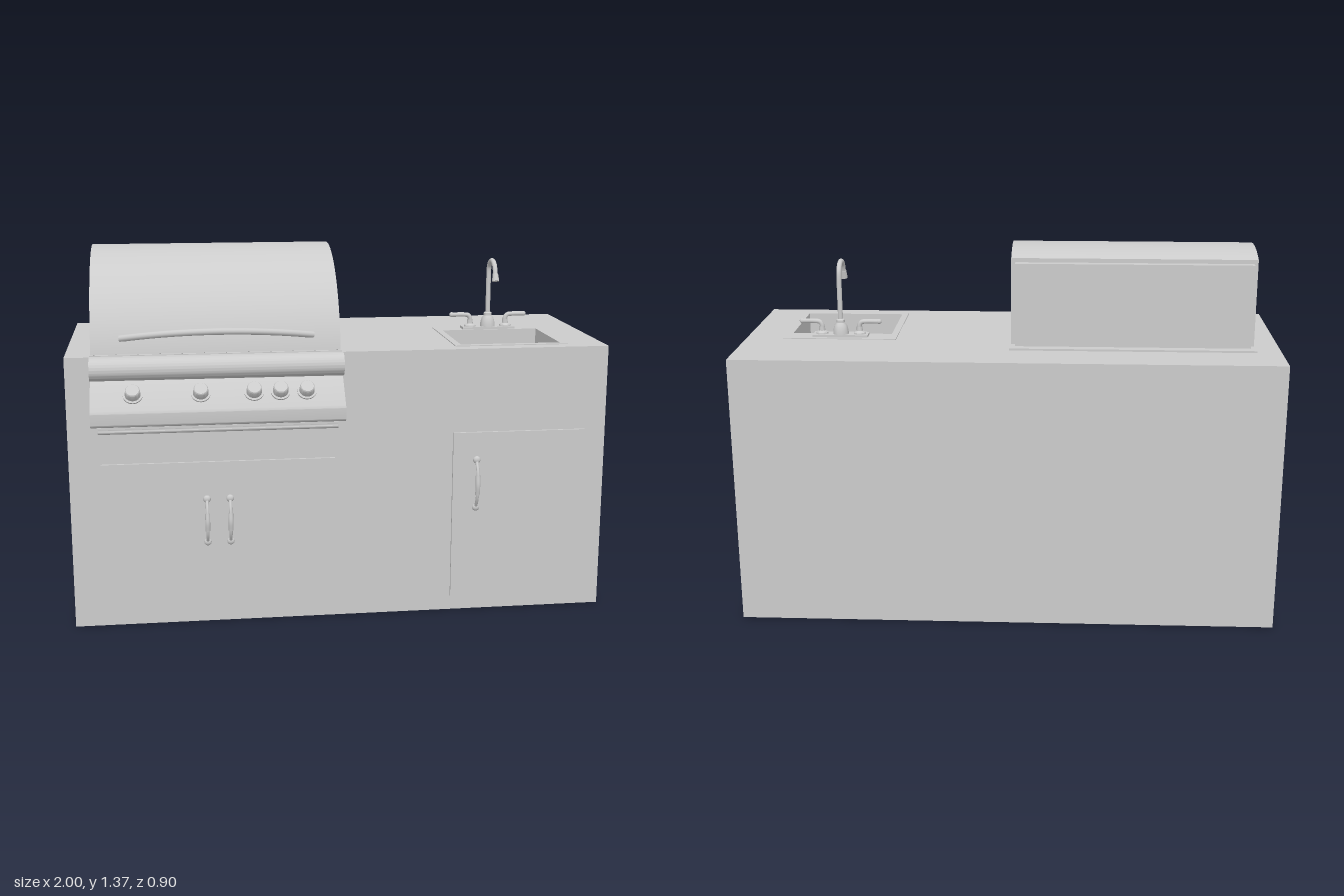
import * as THREE from 'three';
import { toCreasedNormals } from 'three/addons/utils/BufferGeometryUtils.js';

const grey = new THREE.MeshStandardMaterial({ color: 0xcccccc, side: THREE.DoubleSide });

function add(parent, name, geometry) {
  const mesh = new THREE.Mesh(geometry, grey);
  mesh.name = name;
  parent.add(mesh);
  return mesh;
}

// Box given by its limits
function box(parent, name, x0, x1, y0, y1, z0, z1) {
  const m = add(parent, name, new THREE.BoxGeometry(x1 - x0, y1 - y0, z1 - z0));
  m.position.set((x0 + x1) / 2, (y0 + y1) / 2, (z0 + z1) / 2);
  return m;
}

// Side profile (z, y) swept along x
function sweepX(parent, name, shape, x0, x1) {
  const g = new THREE.ExtrudeGeometry(shape, { depth: x1 - x0, bevelEnabled: false, curveSegments: 32 });
  g.rotateY(-Math.PI / 2).translate(x1, 0, 0);
  return add(parent, name, toCreasedNormals(g, 0.5));
}

// Flat plate with a rectangular opening, limits in x and z
function frame(parent, name, [x0, x1, z0, z1], [a0, a1, b0, b1], y0, y1) {
  const rect = (C, l, r, n, f) => new C([[l, -f], [r, -f], [r, -n], [l, -n]].map(p => new THREE.Vector2(...p)));
  const shape = rect(THREE.Shape, x0, x1, z0, z1);
  shape.holes.push(rect(THREE.Path, a0, a1, b0, b1));
  const g = new THREE.ExtrudeGeometry(shape, { depth: y1 - y0, bevelEnabled: false });
  return add(parent, name, g.rotateX(-Math.PI / 2).translate(0, y0, 0));
}

function tube(parent, name, points, radius, segments = 32) {
  const curve = new THREE.CatmullRomCurve3(points.map(p => new THREE.Vector3(...p)));
  return add(parent, name, new THREE.TubeGeometry(curve, segments, radius, 12));
}

function lathe(parent, name, points, segments = 24) {
  const g = new THREE.LatheGeometry(points.map(p => new THREE.Vector2(...p)), segments);
  return add(parent, name, toCreasedNormals(g, 0.6));
}

// Bowed pull handle with round feet
function doorHandle(parent, x, y0, y1) {
  const handle = new THREE.Group();
  handle.name = 'doorHandle';
  const h = y1 - y0, m = (y0 + y1) / 2;
  tube(handle, 'handleBow', [[x, y0, 0.352], [x, y0 + h * 0.22, 0.374], [x, m, 0.381], [x, y1 - h * 0.22, 0.374], [x, y1, 0.352]], 0.006);
  tube(handle, 'handleGrip', [[x, m - h * 0.2, 0.376], [x, m, 0.381], [x, m + h * 0.2, 0.376]], 0.009, 12);
  for (const y of [y0, y1]) {
    const foot = add(handle, 'handleFoot', new THREE.SphereGeometry(0.014, 16, 12));
    foot.position.set(x, y, 0.352);
    foot.scale.z = 0.7;
  }
  parent.add(handle);
}

function buildIsland(root) {
  const island = new THREE.Group();
  island.name = 'island';
  root.add(island);
  const basin = [0.455, 0.835, -0.065, 0.26];
  box(island, 'cabinet', -1, 1, 0, 0.86, -0.455, 0.34);
  frame(island, 'counterTop', [-1, 1, -0.455, 0.34], basin, 0.86, 1.015);
  frame(island, 'sinkRim', [0.43, 0.86, -0.145, 0.285], basin, 1.012, 1.018);
  const drain = lathe(island, 'sinkDrain', [[0, 0.002], [0.018, 0.002], [0.022, 0.005], [0.03, 0.004], [0.032, 0]]);
  drain.position.set(0.645, 0.861, 0.04);

  // Doors
  box(island, 'wideDoor', -0.885, -0.03, 0.055, 0.62, 0.335, 0.35);
  box(island, 'narrowDoor', 0.415, 0.92, 0.055, 0.70, 0.335, 0.35);
  doorHandle(island, -0.505, 0.315, 0.48);
  doorHandle(island, -0.42, 0.315, 0.48);
  doorHandle(island, 0.505, 0.41, 0.595);
}

function buildGrill(root) {
  const grill = new THREE.Group();
  grill.name = 'grill';
  root.add(grill);

  // Hood
  box(grill, 'grillFlange', -0.91, -0.005, 1.01, 1.022, -0.28, 0.35);
  const hood = new THREE.Shape();
  hood.moveTo(-0.215, 1.022);
  hood.lineTo(0.35, 1.025);
  hood.absarc(-0.06, 0.96, 0.415, 0.157, 1.953, false);
  hood.closePath();
  sweepX(grill, 'hood', hood, -0.905, -0.01);
  box(grill, 'hoodBack', -0.89, -0.025, 1.022, 1.33, -0.245, -0.21);
  for (const x of [-0.907, -0.008]) {
    const pin = add(grill, 'hoodPivot', new THREE.CylinderGeometry(0.006, 0.006, 0.01, 12));
    pin.rotation.z = Math.PI / 2;
    pin.position.set(x, 1.175, -0.06);
  }

  // Bowed hood handle in a tilted plane
  const bow = [];
  for (let i = -4; i <= 4; i++) {
    const rise = 1 - (i / 4) ** 2;
    bow.push([-0.455 + i * 0.0865, 1.08 + 0.03 * rise, 0.335 + 0.07 * rise]);
  }
  tube(grill, 'hoodHandle', bow, 0.012, 48);

  // Rounded front ledge
  const roll = new THREE.Shape();
  roll.moveTo(0.33, 0.935);
  roll.lineTo(0.37, 0.935);
  roll.absarc(0.37, 0.977, 0.042, -Math.PI / 2, Math.PI / 2, false);
  roll.lineTo(0.33, 1.019);
  roll.closePath();
  sweepX(grill, 'frontLedge', roll, -0.91, -0.003);

  // Sloped control panel
  const panel = new THREE.Shape();
  panel.moveTo(0.34, 0.78);
  panel.lineTo(0.435, 0.78);
  panel.quadraticCurveTo(0.45, 0.78, 0.45, 0.795);
  panel.lineTo(0.45, 0.83);
  panel.quadraticCurveTo(0.45, 0.836, 0.446, 0.84);
  panel.lineTo(0.352, 0.937);
  panel.lineTo(0.34, 0.937);
  panel.closePath();
  sweepX(grill, 'controlPanel', panel, -0.91, -0.003);
  box(grill, 'panelBack', -0.895, -0.02, 0.755, 0.99, 0.335, 0.355);

  // Drip tray with curled front lip
  box(grill, 'dripTray', -0.885, -0.03, 0.772, 0.78, 0.35, 0.44);
  const lip = new THREE.CylinderGeometry(0.011, 0.011, 0.855, 16, 1, true, Math.PI * 0.75, Math.PI * 1.25);
  const lipMesh = add(grill, 'trayLip', lip.rotateZ(Math.PI / 2));
  lipMesh.position.set(-0.4575, 0.766, 0.437);

  // Knobs
  for (const x of [-0.76, -0.52, -0.33, -0.235, -0.14]) {
    const knob = lathe(grill, 'knob', [[0, 0.037], [0.023, 0.037], [0.026, 0.033], [0.028, 0.008], [0.035, 0.006], [0.035, -0.004]]);
    knob.rotation.x = Math.PI / 4;
    knob.position.set(x, 0.885, 0.401);
  }
}

function buildFaucet(root) {
  const faucet = new THREE.Group();
  faucet.name = 'faucet';
  faucet.position.set(0.645, 1.015, -0.1);
  root.add(faucet);

  box(faucet, 'deckPlate', -0.105, 0.105, 0, 0.012, -0.028, 0.028);
  lathe(faucet, 'spoutBase', [[0.03, 0.01], [0.029, 0.025], [0.024, 0.045], [0.016, 0.056], [0.016, 0.066], [0.01, 0.07]]);

  // Gooseneck spout
  const neck = [[0, 0.05, 0], [0, 0.12, 0], [0, 0.19, 0]];
  for (let i = 1; i <= 8; i++) {
    const a = i / 8 * 2.8;
    neck.push([0, 0.23 + 0.05 * Math.sin(a), 0.052 - 0.052 * Math.cos(a)]);
  }
  neck.push([0, 0.225, 0.108]);
  tube(faucet, 'spout', neck, 0.0095, 64);
  const nozzle = add(faucet, 'nozzle', new THREE.CylinderGeometry(0.011, 0.014, 0.03, 20));
  nozzle.position.set(0, 0.22, 0.109);
  nozzle.rotation.x = -0.3;

  // Mirrored lever taps
  for (const s of [-1, 1]) {
    const base = lathe(faucet, 'tapBase', [[0.024, 0.008], [0.022, 0.018], [0.012, 0.024], [0.011, 0.04]]);
    base.position.x = s * 0.072;
    tube(faucet, 'tapLever', [[s * 0.072, 0.02, 0], [s * 0.072, 0.045, 0], [s * 0.08, 0.057, 0], [s * 0.1, 0.06, 0], [s * 0.148, 0.06, 0]], 0.009);
    const tip = add(faucet, 'leverTip', new THREE.SphereGeometry(0.01, 12, 10));
    tip.position.set(s * 0.147, 0.06, 0);
  }
}

export function createModel() {
  const root = new THREE.Group();
  root.name = 'outdoorKitchen';
  buildIsland(root);
  buildGrill(root);
  buildFaucet(root);
  return root;
}
